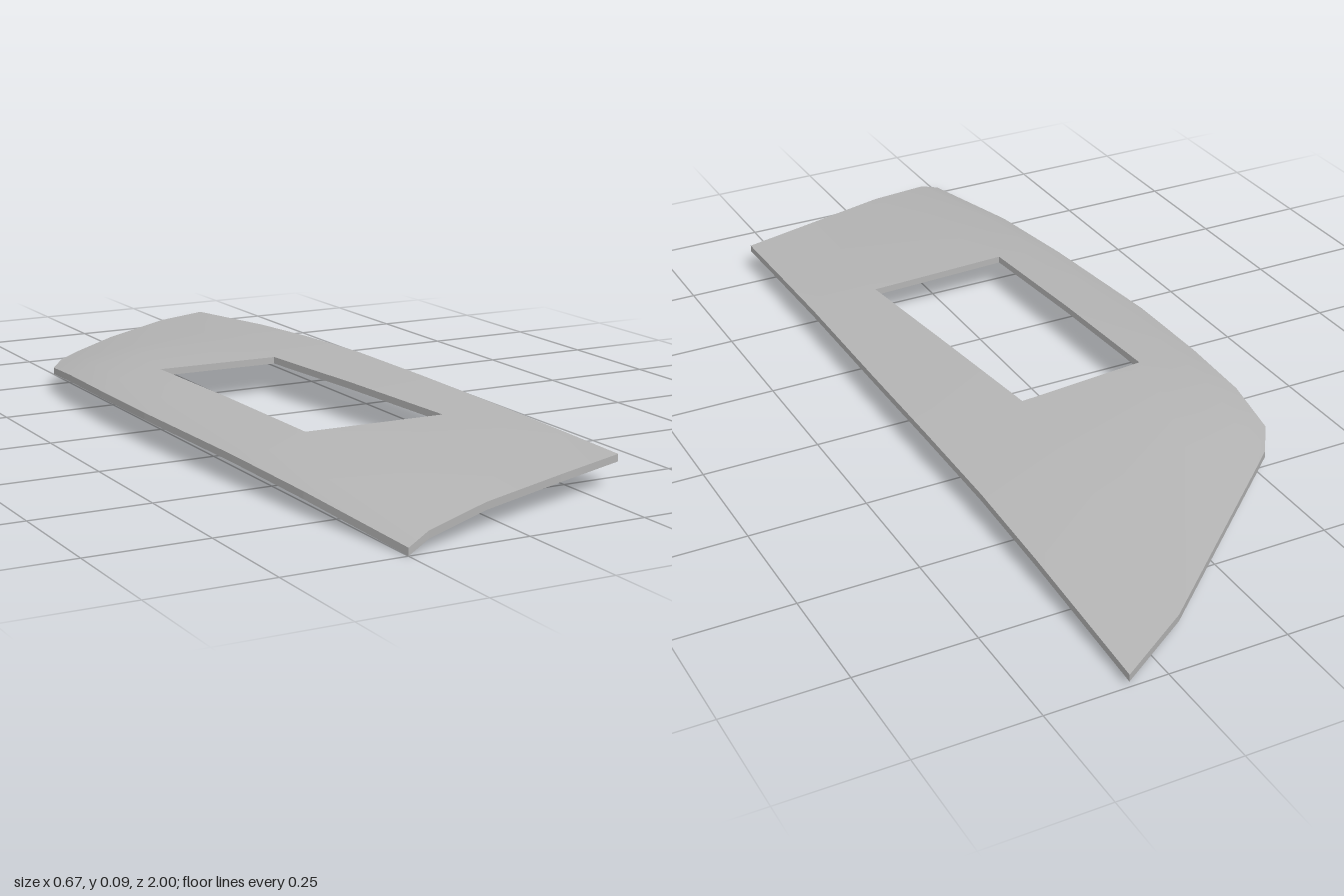
import * as THREE from 'three';

const THICKNESS = 0.015;

// Upper surface cross-sections from front to back, each from right edge (-x) to left edge (+x): [x, y, z]
const ROWS = [
  [[-0.25, 0.015, 1], [-0.2, 0.035, 0.985], [-0.05, 0.053, 0.935], [0.16, 0.06, 0.865], [0.33, 0.065, 0.81]],
  [[-0.29, 0.045, 0.7], [-0.24, 0.062, 0.7], [-0.09, 0.076, 0.69], [0.17, 0.073, 0.66], [0.33, 0.069, 0.64]],
  [[-0.31, 0.058, 0.45], [-0.26, 0.074, 0.45], [-0.15, 0.084, 0.45], [0.17, 0.08, 0.44], [0.33, 0.073, 0.42]],
  [[-0.333, 0.067, 0.1], [-0.277, 0.084, 0.1], [-0.166, 0.091, 0.15], [0.14, 0.085, 0.13], [0.333, 0.075, 0.1]],
  [[-0.335, 0.068, -0.12], [-0.28, 0.085, -0.13], [-0.18, 0.093, -0.15], [0.11, 0.087, -0.17], [0.333, 0.075, -0.18]],
  [[-0.33, 0.066, -0.3], [-0.27, 0.083, -0.3], [-0.15, 0.094, -0.31], [0.12, 0.083, -0.36], [0.33, 0.068, -0.42]],
  [[-0.312, 0.053, -0.44], [-0.245, 0.07, -0.44], [-0.1, 0.08, -0.47], [0.14, 0.068, -0.57], [0.33, 0.055, -0.65]],
  [[-0.26, 0.052, -0.52], [-0.2, 0.053, -0.575], [-0.06, 0.051, -0.7], [0.17, 0.037, -0.9], [0.33, 0.027, -1]],
];
const LAST_ROW = ROWS.length - 1;
const LAST_COL = ROWS[0].length - 1;
const HOLE = { r0: 2, r1: 4, c0: 2, c1: 3 };

function geometryFrom(points, index) {
  const geo = new THREE.BufferGeometry();
  geo.setAttribute('position', new THREE.Float32BufferAttribute(points.flat(), 3));
  geo.setIndex(index);
  geo.computeVertexNormals();
  return geo;
}

// Smooth skin over the cross-sections, leaving out the opening
function skin(drop, flip) {
  const points = ROWS.flat().map(([x, y, z]) => [x, y - drop, z]);
  const index = [];
  const w = LAST_COL + 1;
  for (let r = 0; r < LAST_ROW; r++) {
    for (let c = 0; c < LAST_COL; c++) {
      if (r >= HOLE.r0 && r < HOLE.r1 && c >= HOLE.c0 && c < HOLE.c1) continue;
      const a = r * w + c, b = a + 1, d = b + w, e = a + w;
      index.push(...(flip ? [a, d, b, a, e, d] : [a, b, d, a, d, e]));
    }
  }
  return geometryFrom(points, index);
}

// Anticlockwise loop of surface points around a block of cells
function loop(r0, r1, c0, c1) {
  const pts = [];
  for (let c = c0; c < c1; c++) pts.push(ROWS[r0][c]);
  for (let r = r0; r < r1; r++) pts.push(ROWS[r][c1]);
  for (let c = c1; c > c0; c--) pts.push(ROWS[r1][c]);
  for (let r = r1; r > r0; r--) pts.push(ROWS[r][c0]);
  return pts;
}

// Flat-sided wall hanging from a loop
function wall(pts) {
  const points = [], index = [];
  const down = ([x, y, z]) => [x, y - THICKNESS, z];
  pts.forEach((p, i) => {
    const q = pts[(i + 1) % pts.length], n = points.length;
    points.push(down(p), down(q), q, p);
    index.push(n, n + 1, n + 2, n, n + 2, n + 3);
  });
  return geometryFrom(points, index);
}

export function createModel() {
  const group = new THREE.Group();
  group.name = 'curvedPanel';
  const grey = new THREE.MeshStandardMaterial({ color: 0xb4b4b4 });
  grey.name = 'panel grey';

  const add = (name, geo) => {
    const mesh = new THREE.Mesh(geo, grey);
    mesh.name = name;
    group.add(mesh);
  };
  add('upperSurface', skin(0, false));
  add('lowerSurface', skin(THICKNESS, true));
  add('outerEdge', wall(loop(0, LAST_ROW, 0, LAST_COL)));
  add('openingEdge', wall(loop(HOLE.r0, HOLE.r1, HOLE.c0, HOLE.c1).reverse()));
  return group;
}
